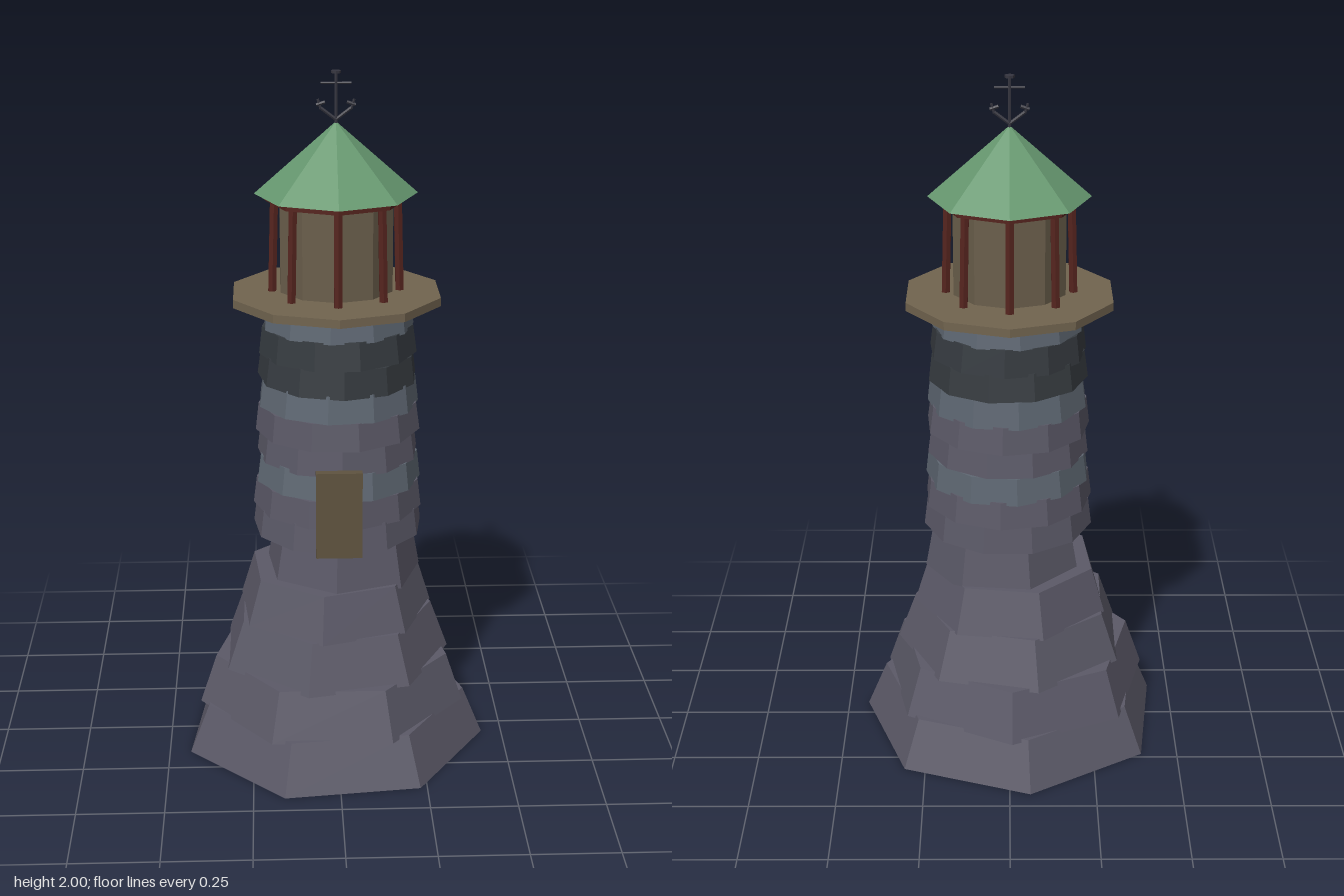
import * as THREE from 'three';

const mat = (color) => new THREE.MeshStandardMaterial({ color, flatShading: true });
const stone = mat(0x5b5967), blueStone = mat(0x5e6772), darkStone = mat(0x363b40);
const wood = mat(0x71644f), wall = mat(0x6a5e4b), doorWood = mat(0x5f533f);
const red = mat(0x55241e), green = mat(0x66976f), iron = mat(0x35353f);
const AXIS_Z = 0.008;

function add(parent, name, geometry, material, x = 0, y = 0, z = AXIS_Z) {
  const mesh = new THREE.Mesh(geometry, material);
  mesh.name = name;
  mesh.position.set(x, y, z);
  parent.add(mesh);
  return mesh;
}

// Faceted drum from y0 to y1; phase is the angle of one corner from +x towards +z
function drum(parent, name, material, sides, y0, y1, rBottom, rTop, phase = 90, x = 0) {
  const start = Math.PI / 2 - THREE.MathUtils.degToRad(phase);
  const geo = new THREE.CylinderGeometry(rTop, rBottom, y1 - y0, sides, 1, false, start);
  return add(parent, name, geo, material, x, (y0 + y1) / 2);
}

// Thin bar between two points
function bar(parent, name, a, b, r, material, sides = 6) {
  const from = new THREE.Vector3(...a), to = new THREE.Vector3(...b);
  const dir = to.clone().sub(from);
  const mesh = add(parent, name, new THREE.CylinderGeometry(r, r, dir.length(), sides), material);
  mesh.position.copy(from).add(to).multiplyScalar(0.5);
  mesh.quaternion.setFromUnitVectors(new THREE.Vector3(0, 1, 0), dir.normalize());
  return mesh;
}

export function createModel() {
  const model = new THREE.Group();
  model.name = 'lighthouse';

  // Rocky foundation: five seven-sided tiers, each twisted against the next
  const foundation = new THREE.Group();
  foundation.name = 'foundation';
  model.add(foundation);
  [ // y0, y1, bottom radius, top radius, phase, x
    [0, 0.145, 0.453, 0.393, 6.5, -0.01],
    [0.135, 0.28, 0.4, 0.35, 14, -0.015],
    [0.27, 0.415, 0.345, 0.292, 0.5, -0.01],
    [0.41, 0.545, 0.292, 0.25, -5, -0.008],
    [0.53, 0.68, 0.232, 0.205, -7, 0.018],
  ].forEach(([y0, y1, rb, rt, phase, x]) => drum(foundation, 'foundationTier', stone, 7, y0, y1, rb, rt, phase, x));

  // Tower: nine courses of blocks, slightly tilted and twisted
  const tower = new THREE.Group();
  tower.name = 'tower';
  model.add(tower);
  const courses = [
    [0.248, stone], [0.246, stone], [0.24, blueStone], [0.234, stone], [0.238, stone],
    [0.232, blueStone], [0.23, darkStone], [0.226, darkStone], [0.216, blueStone],
  ];
  courses.forEach(([r, material], i) => {
    const y = 0.672 + i * 0.0765;
    const course = drum(tower, 'stoneCourse', material, 11, y, y + 0.08, r, r - 0.01, 90 + (i % 2) * 16.4 + i * 5);
    if (i > 0 && i < 8) course.rotation.set(0.014 * Math.sin(i * 2.3), 0, 0.014 * Math.cos(i * 1.7));
    course.position.x = 0.005;
  });

  // Door
  add(model, 'door', new THREE.BoxGeometry(0.13, 0.255, 0.025), doorWood, 0, 0.8, 0.262);

  // Gallery and lantern room
  drum(model, 'gallery', wood, 10, 1.358, 1.382, 0.304, 0.304);
  drum(model, 'lanternRoom', wall, 10, 1.39, 1.66, 0.165, 0.165);
  drum(model, 'roofRing', red, 8, 1.643, 1.662, 0.2, 0.2);
  for (let i = 0; i < 8; i++) {
    const a = (i * Math.PI) / 4, c = Math.cos(a), s = Math.sin(a);
    bar(model, 'galleryPost', [c * 0.18, 1.38, AXIS_Z + s * 0.18], [c * 0.172, 1.65, AXIS_Z + s * 0.172], 0.013, red);
  }

  // Roof
  add(model, 'roof', new THREE.ConeGeometry(0.228, 0.2, 8), green, 0, 1.761);

  // Anchor finial
  const finial = new THREE.Group();
  finial.name = 'anchorFinial';
  model.add(finial);
  bar(finial, 'shank', [0, 1.85, AXIS_Z], [0, 1.995, AXIS_Z], 0.005, iron);
  drum(finial, 'topDisc', iron, 8, 1.993, 2, 0.014, 0.014);
  bar(finial, 'stock', [-0.042, 1.966, AXIS_Z], [0.042, 1.966, AXIS_Z], 0.0035, iron);
  for (const s of [-1, 1]) {
    bar(finial, 'arm', [0, 1.866, AXIS_Z], [s * 0.042, 1.898, AXIS_Z], 0.005, iron);
    bar(finial, 'armTip', [s * 0.042, 1.895, AXIS_Z], [s * 0.05, 1.922, AXIS_Z], 0.004, iron);
    bar(finial, 'fluke', [s * 0.03, 1.914, AXIS_Z], [s * 0.054, 1.906, AXIS_Z], 0.005, iron);
  }
  return model;
}
